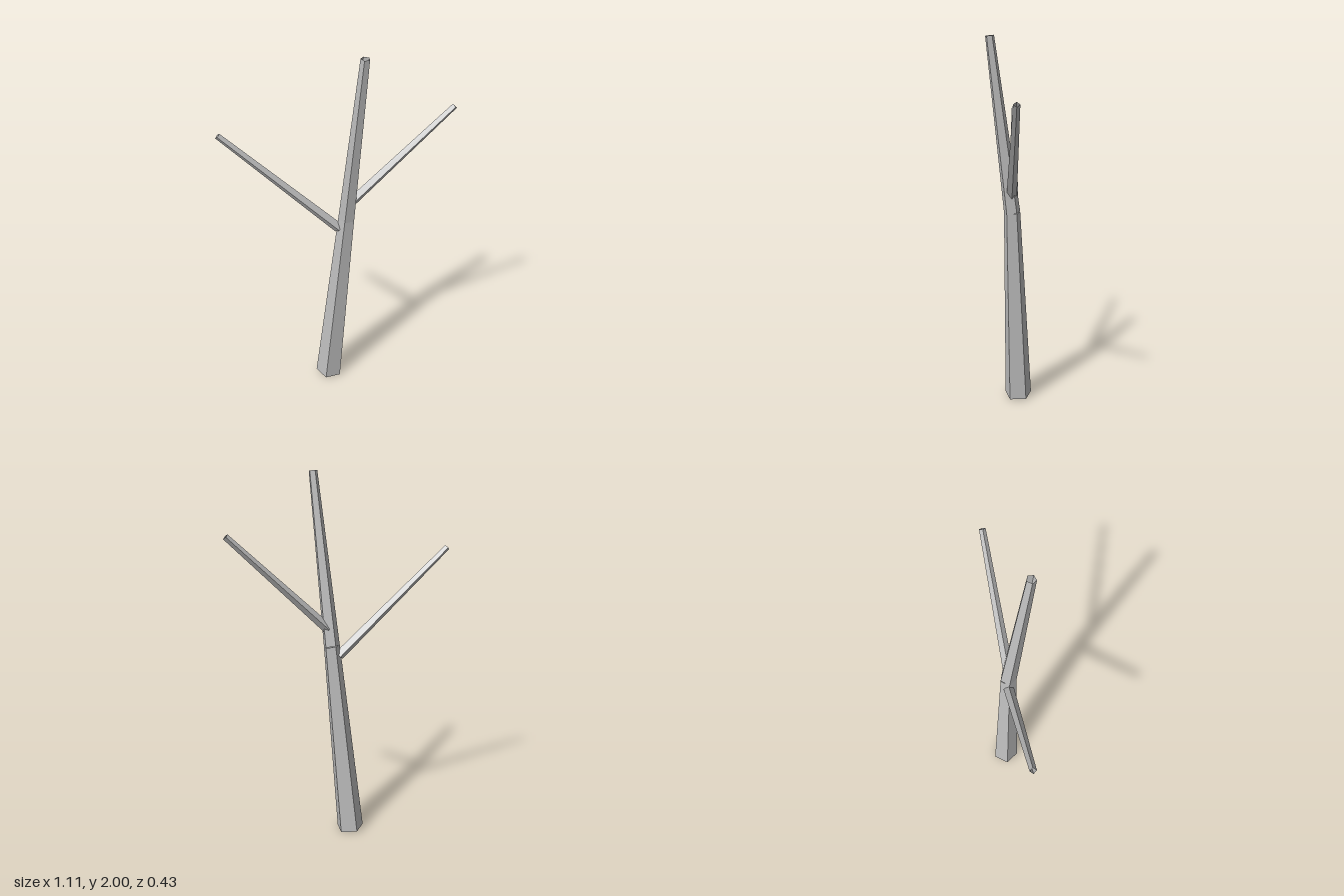
import * as THREE from 'three';

const X = new THREE.Vector3(1, 0, 0);
const Y = new THREE.Vector3(0, 1, 0);

// Tapered, faceted, open-ended limb running from one point to another.
// One corner edge is kept square to a reference axis so the facets line up.
function limb(name, from, to, rFrom, rTo, sides, material) {
  const a = new THREE.Vector3(...from);
  const b = new THREE.Vector3(...to);
  const axis = b.clone().sub(a);
  const length = axis.length();
  axis.normalize();
  const corner = (axis.y > 0.9 ? X : Y).clone().cross(axis).normalize();
  const side = axis.clone().cross(corner);

  const mesh = new THREE.Mesh(
    new THREE.CylinderGeometry(rTo, rFrom, length, sides, 1, true),
    material
  );
  mesh.quaternion.setFromRotationMatrix(new THREE.Matrix4().makeBasis(side, axis, corner));
  mesh.position.copy(a).add(b).multiplyScalar(0.5);
  mesh.name = name;
  return mesh;
}

export function createModel() {
  const bark = new THREE.MeshStandardMaterial({
    color: 0xbebebe,
    flatShading: true,
    side: THREE.DoubleSide
  });
  bark.name = 'pale grey bark';

  const tree = new THREE.Group();
  tree.name = 'bareTree';
  tree.add(
    // Leaning trunk in two five-sided sections
    limb('lowerTrunk', [-0.05, 0.007, 0], [0.052, 1.1, 0], 0.077, 0.045, 5, bark),
    limb('upperTrunk', [0.052, 1.1, 0], [0.15, 1.997, 0.08], 0.045, 0.023, 5, bark),
    // Two thin four-sided branches
    limb('rightBranch', [0.012, 1.043, 0.01], [-0.547, 1.6, 0.199], 0.028, 0.016, 4, bark),
    limb('leftBranch', [0.07, 1.195, -0.005], [0.547, 1.7, -0.2], 0.027, 0.016, 4, bark)
  );
  return tree;
}
